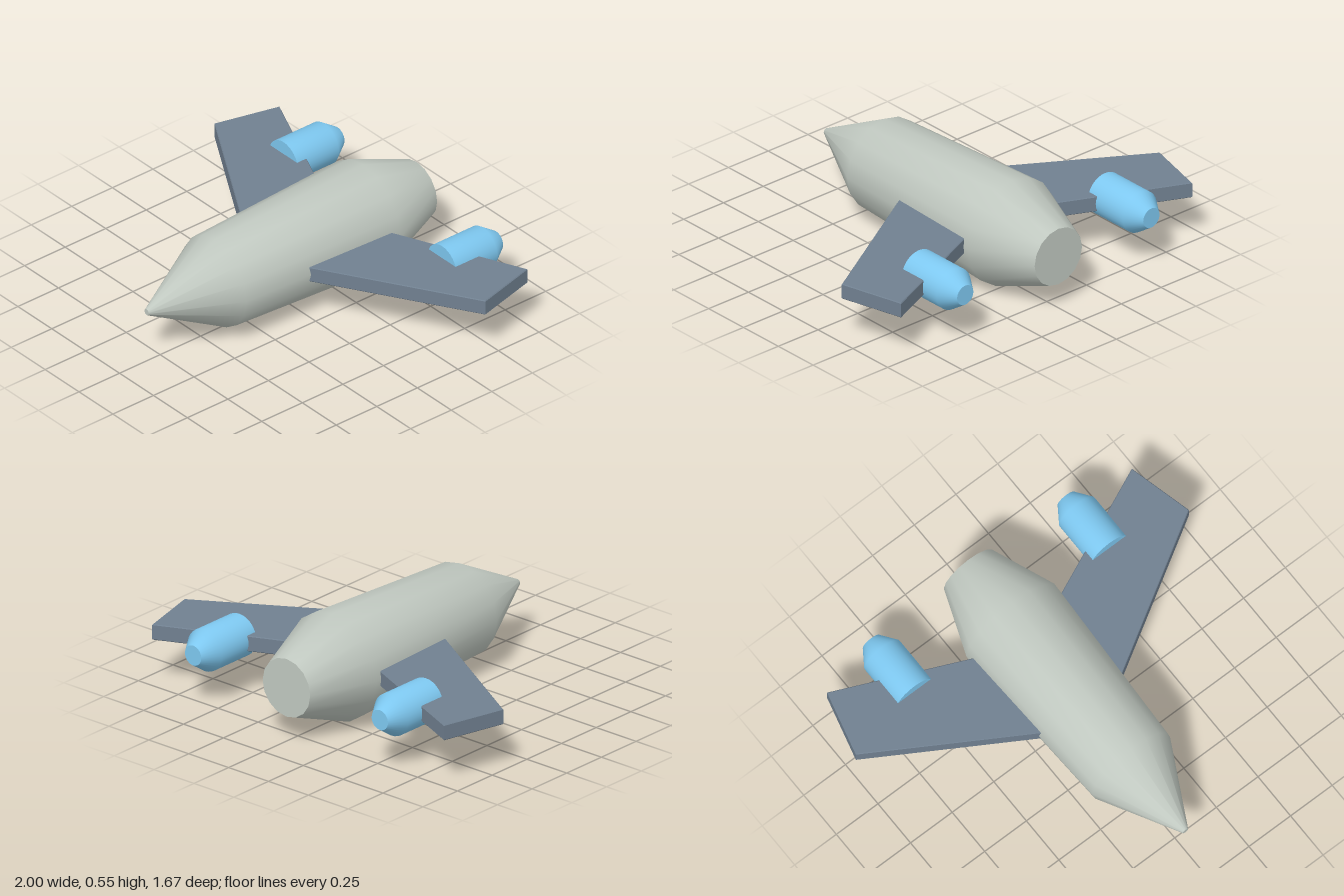
import * as THREE from 'three';

const AXIS_Y = 0.279;
const hullMat = new THREE.MeshStandardMaterial({ color: 0xc0c8c0 });
const wingMat = new THREE.MeshStandardMaterial({ color: 0x708090 });
const engineMat = new THREE.MeshStandardMaterial({ color: 0x7ec8f0 });

// Smooth body of revolution along z with flat end caps; profile is [radius, z] from back to front
function turnedBody(name, profile, sides, material) {
  const group = new THREE.Group();
  group.name = name;
  const points = profile.map(([r, z]) => new THREE.Vector2(r, z));
  const shell = new THREE.Mesh(new THREE.LatheGeometry(points, sides).rotateX(Math.PI / 2), material);
  shell.name = name + 'Shell';
  group.add(shell);

  const [backR, backZ] = profile[0];
  const [frontR, frontZ] = profile[profile.length - 1];
  const back = new THREE.Mesh(new THREE.CircleGeometry(backR, sides).rotateY(Math.PI), material);
  back.name = name + 'BackCap';
  back.position.z = backZ;
  const front = new THREE.Mesh(new THREE.CircleGeometry(frontR, sides), material);
  front.name = name + 'FrontCap';
  front.position.z = frontZ;
  group.add(back, front);
  group.position.y = AXIS_Y;
  return group;
}

// Swept slab wing with a fine edge bevel; side is +1 for left, -1 for right
function wing(side) {
  const bevel = 0.004, thickness = 0.08;
  const outline = [[0.2, 0.06], [1, -0.42], [0.915, -0.75], [0.2, -0.432]];
  const shape = new THREE.Shape(outline.map(([x, z]) => new THREE.Vector2(side * x, -z)));
  const geometry = new THREE.ExtrudeGeometry(shape, {
    depth: thickness - 2 * bevel,
    bevelEnabled: true, bevelSegments: 1,
    bevelThickness: bevel, bevelSize: bevel, bevelOffset: -bevel,
  });
  geometry.rotateX(-Math.PI / 2).translate(0, AXIS_Y - thickness / 2 + bevel, 0);
  const mesh = new THREE.Mesh(geometry, wingMat);
  mesh.name = side > 0 ? 'leftWing' : 'rightWing';
  return mesh;
}

export function createModel() {
  const model = new THREE.Group();
  model.name = 'spacecraft';

  // Fuselage: blunt tail, widening waist, pointed nose
  model.add(turnedBody('fuselage',
    [[0.149, -0.833], [0.275, -0.5], [0.234, 0.415], [0.016, 0.833]], 16, hullMat));

  // Wings with an engine pod on each
  for (const side of [1, -1]) {
    model.add(wing(side));
    const engine = turnedBody(side > 0 ? 'leftEngine' : 'rightEngine',
      [[0.051, -0.833], [0.107, -0.75], [0.107, -0.5]], 32, engineMat);
    engine.position.x = side * 0.585;
    model.add(engine);
  }
  return model;
}
